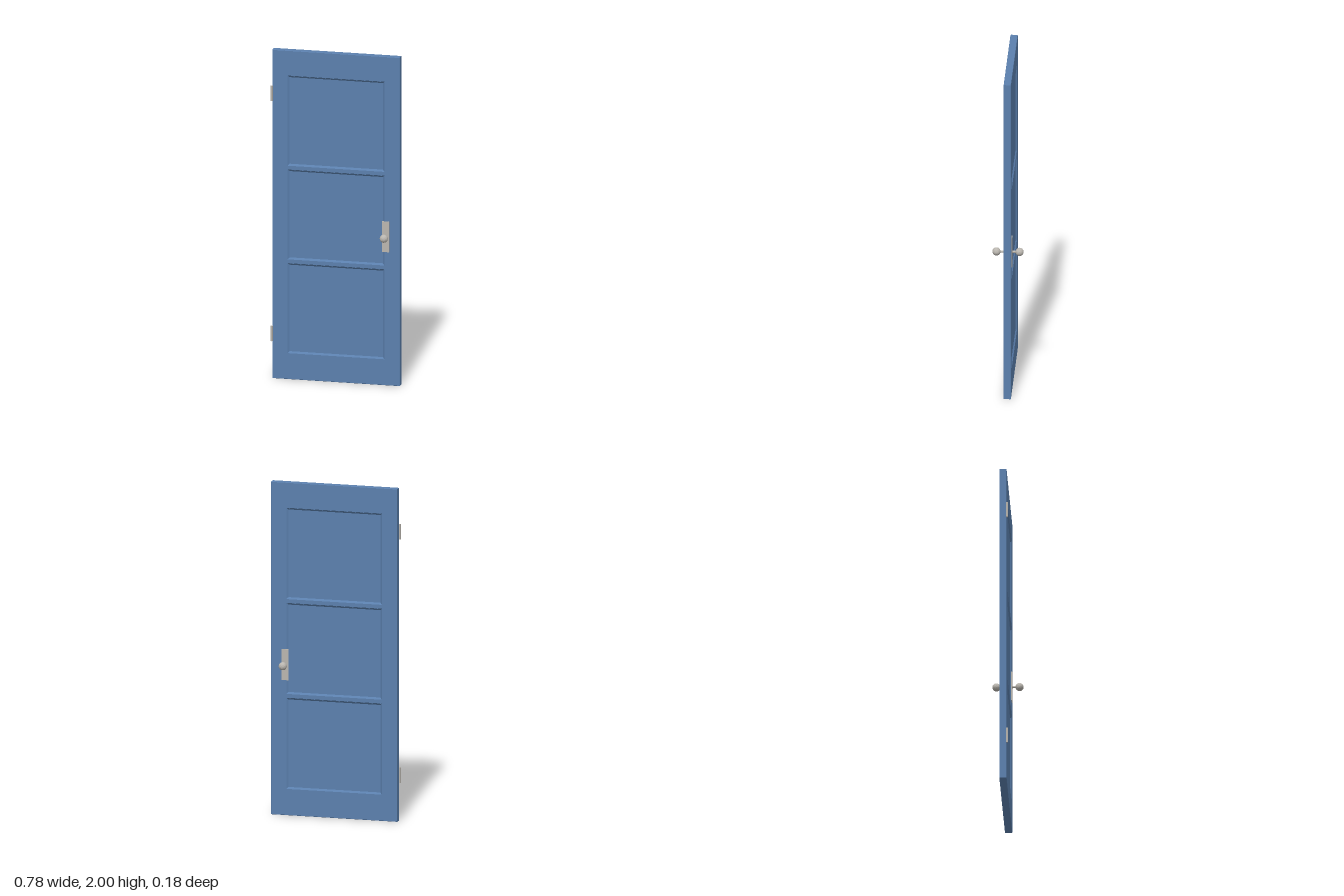
import * as THREE from 'three';

const CX = 0.003, CZ = -0.001;          // centre of the door leaf
const HALF_W = 0.386, HALF_D = 0.0215;  // leaf half width and half thickness
const PANEL_HALF_W = 0.291, MOULD = 0.009, RECESS = 0.008, EDGE = 0.002;
const PANELS = [[0.16, 0.704], [0.731, 1.274], [1.301, 1.846]];

const blue = new THREE.MeshStandardMaterial({ color: 0x5b80ae });
blue.name = 'bluePaint';
const metal = new THREE.MeshStandardMaterial({ color: 0xbab6af });
metal.name = 'greyMetal';

function add(parent, name, geometry, material, x = 0, y = 0, z = 0) {
  const mesh = new THREE.Mesh(geometry, material);
  mesh.name = name;
  mesh.position.set(x, y, z);
  parent.add(mesh);
  return mesh;
}

// flat facets on rounded low-poly parts
function faceted(geometry) {
  const g = geometry.index ? geometry.toNonIndexed() : geometry;
  g.computeVertexNormals();
  return g;
}

function rectPoints(hw, y0, y1) {
  return [[-hw, y0], [hw, y0], [hw, y1], [-hw, y1]];
}

function toPath(points, Type) {
  return new Type(points.map(([x, y]) => new THREE.Vector2(x, y)));
}

// sloped picture-frame strip from the leaf face down to the recessed panel
function mouldingGeometry(y0, y1) {
  const outer = rectPoints(PANEL_HALF_W, y0, y1);
  const inner = rectPoints(PANEL_HALF_W - MOULD, y0 + MOULD, y1 - MOULD);
  const pos = [];
  for (let i = 0; i < 4; i++) {
    const j = (i + 1) % 4;
    const a = [...outer[i], HALF_D], b = [...outer[j], HALF_D];
    const c = [...inner[j], HALF_D - RECESS], d = [...inner[i], HALF_D - RECESS];
    pos.push(...a, ...b, ...c, ...a, ...c, ...d);
  }
  const g = new THREE.BufferGeometry();
  g.setAttribute('position', new THREE.Float32BufferAttribute(pos, 3));
  g.computeVertexNormals();
  return g;
}

export function createModel() {
  const door = new THREE.Group();
  door.name = 'door';

  // stiles and rails: one slab with three openings and slightly eased edges
  const leaf = new THREE.Group();
  leaf.name = 'leaf';
  leaf.position.set(CX, 0, CZ);
  door.add(leaf);
  const shape = toPath(rectPoints(HALF_W - EDGE, EDGE, 2 - EDGE), THREE.Shape);
  for (const [y0, y1] of PANELS) {
    shape.holes.push(toPath(rectPoints(PANEL_HALF_W + EDGE, y0 - EDGE, y1 + EDGE).reverse(), THREE.Path));
  }
  const frame = new THREE.ExtrudeGeometry(shape, {
    depth: 2 * (HALF_D - EDGE), bevelEnabled: true,
    bevelSize: EDGE, bevelThickness: EDGE, bevelSegments: 1,
  });
  add(leaf, 'stilesAndRails', frame, blue, 0, 0, -HALF_D + EDGE);

  // recessed panels with a sloped moulding on both faces
  for (const [y0, y1] of PANELS) {
    add(leaf, 'panel',
      new THREE.BoxGeometry(2 * PANEL_HALF_W, y1 - y0, 2 * (HALF_D - RECESS)),
      blue, 0, (y0 + y1) / 2, 0);
    const moulding = mouldingGeometry(y0, y1);
    add(leaf, 'frontMoulding', moulding, blue);
    add(leaf, 'backMoulding', moulding, blue).rotation.y = Math.PI;
  }

  // handle set on each face: back plate, stem, faceted knob
  for (const side of [1, -1]) {
    const handle = new THREE.Group();
    handle.name = side > 0 ? 'frontHandle' : 'backHandle';
    handle.position.set(0.304, 0.905, CZ);
    door.add(handle);
    add(handle, 'backPlate', new THREE.BoxGeometry(0.043, 0.186, 0.008), metal, 0, 0, side * 0.0215);
    add(handle, 'stem', faceted(new THREE.CylinderGeometry(0.0065, 0.0065, 0.05, 10)), metal,
      0, 0, side * 0.044).rotation.x = Math.PI / 2;
    add(handle, 'knob', faceted(new THREE.IcosahedronGeometry(0.0245, 2)), metal, 0, 0, side * 0.068);
  }

  // hinge barrels on the front right edge
  for (const y of [0.273, 1.735]) {
    add(door, 'hinge', faceted(new THREE.CylinderGeometry(0.0067, 0.0067, 0.093, 10)), metal,
      -0.3855, y, 0.023);
  }
  return door;
}
